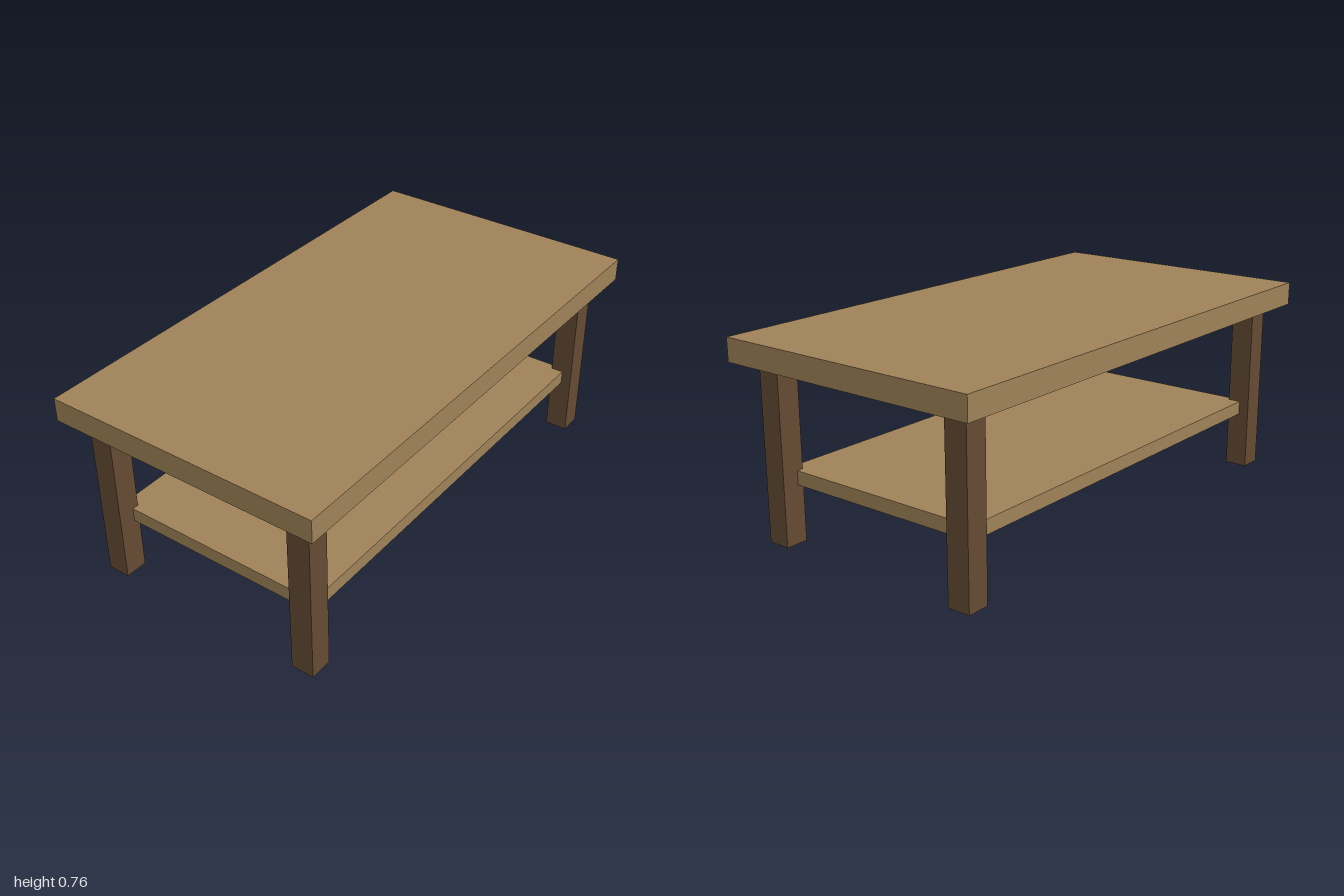
import * as THREE from 'three';

export function createModel() {
  const table = new THREE.Group();
  table.name = 'coffeeTable';

  const lightWood = new THREE.MeshStandardMaterial({ color: 0x9f8258 });
  lightWood.name = 'lightWood';
  const darkWood = new THREE.MeshStandardMaterial({ color: 0x654b34 });
  darkWood.name = 'darkWood';

  // Box resting on height y
  function addBox(name, material, [w, h, d], [x, y, z]) {
    const mesh = new THREE.Mesh(new THREE.BoxGeometry(w, h, d), material);
    mesh.name = name;
    mesh.position.set(x, y + h / 2, z);
    table.add(mesh);
  }

  // Table top, and a shelf let into the legs
  addBox('tableTop', lightWood, [2, 0.09, 1.09], [0, 0.675, 0]);
  addBox('shelf', lightWood, [1.72, 0.054, 0.865], [0, 0.221, 0]);

  // Four square legs
  for (const [xName, x] of [['Left', 0.88], ['Right', -0.88]]) {
    for (const [zName, z] of [['front', 0.428], ['back', -0.428]]) {
      addBox(`${zName}${xName}Leg`, darkWood, [0.09, 0.675, 0.09], [x, 0, z]);
    }
  }

  return table;
}
